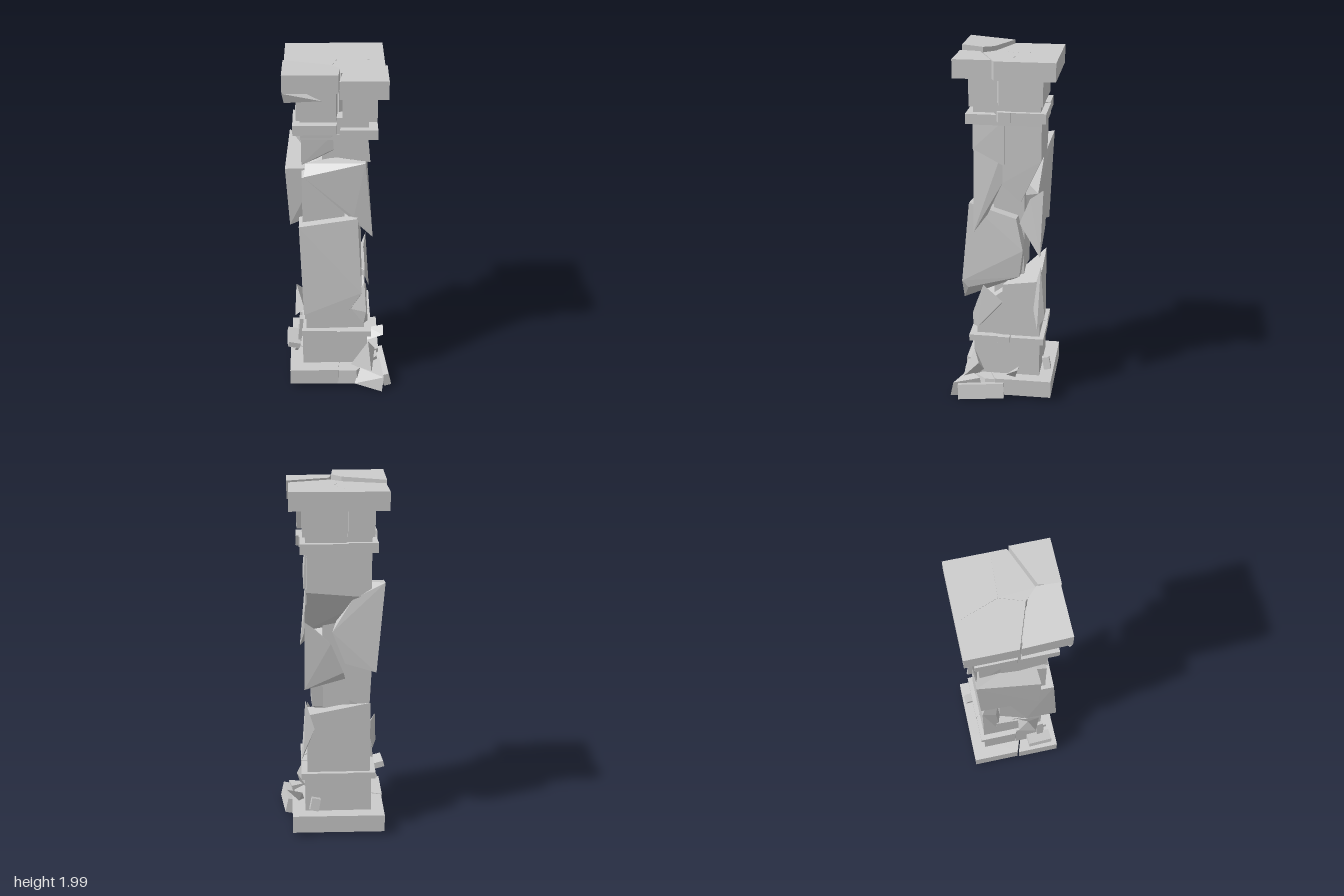
import * as THREE from 'three';
import { ConvexGeometry } from 'three/addons/geometries/ConvexGeometry.js';

export function createModel() {
  const pillar = new THREE.Group();
  pillar.name = 'brokenPillar';
  const stone = new THREE.MeshStandardMaterial({ color: 0xcccccc, flatShading: true });

  let seed = 7;
  const jitter = (amount) => {
    seed = (seed * 16807) % 2147483647;
    return (seed / 2147483647 - 0.5) * 2 * amount;
  };

  const add = (name, geometry) => {
    const mesh = new THREE.Mesh(geometry, stone);
    mesh.name = name;
    pillar.add(mesh);
    return mesh;
  };
  // Convex chunk around a few corner points
  const hull = (name, points) =>
    add(name, new ConvexGeometry(points.map((p) => new THREE.Vector3(...p))));
  // Upright chunk with broken ends; heights run front -x, front +x, back +x, back -x
  const post = (name, [x0, x1], [z0, z1], bottom, top, lean = [0, 0]) => {
    const corners = [[x0, z1], [x1, z1], [x1, z0], [x0, z0]];
    hull(name, corners.flatMap(([x, z], i) => [
      [x, bottom[i], z], [x + lean[0], top[i], z + lean[1]],
    ]));
  };
  const rubble = (name, size, position, rotation) => {
    const mesh = add(name, new THREE.BoxGeometry(...size));
    mesh.position.set(...position);
    mesh.rotation.set(...rotation);
  };

  // Plan of the cracks shared by every square course, as x, z polygons
  const cracks = {
    FrontRight: [[-0.29, -0.01], [-0.05, 0.07], [0.005, 0.125], [-0.005, 0.24], [-0.29, 0.24]],
    FrontLeft: [[0.008, 0.128], [0.24, 0.032], [0.24, 0.24], [-0.01, 0.24]],
    BackRight: [[-0.285, -0.29], [-0.088, -0.29], [-0.006, -0.065], [-0.05, 0.062], [-0.285, -0.018]],
    BackLeft: [[-0.088, -0.29], [0.24, -0.29], [0.24, -0.052], [-0.005, -0.065]],
    Left: [[-0.005, -0.064], [0.24, -0.052], [0.24, 0.032], [0.01, 0.125], [-0.049, 0.062]],
  };
  const centre = -0.025;
  // A square course of cracked blocks; shifts moves single blocks, null leaves one out
  const course = (name, half, y0, y1, loose, shifts = {}) => {
    for (const [part, plan] of Object.entries(cracks)) {
      if (shifts[part] === null) continue;
      const [dx, dy, dz, tilt = 0] =
        shifts[part] || [jitter(loose), jitter(loose), jitter(loose)];
      const k = half / 0.265;
      hull(name + part, plan.flatMap(([px, pz]) => {
        const x = centre + (px - centre) * k + dx;
        const z = centre + (pz - centre) * k + dz;
        const y = dy + tilt * z;
        return [[x, y0 + y, z], [x, y1 + y, z]];
      }));
    }
  };

  // Foot of the pillar, its front left corner broken off
  course('plinth', 0.262, 0.03, 0.13, 0.001, { FrontLeft: null });
  hull('plinthBrokenCorner', [[0, 0.12], [0.235, 0.03], [0.235, 0.1], [0.11, 0.238], [-0.01, 0.238]]
    .flatMap(([x, z]) => [[x, 0.03, z], [x - 0.01, 0.12, z - 0.01]]));
  course('footBlock', 0.188, 0.13, 0.335, 0.002);
  course('footBand', 0.21, 0.335, 0.372, 0.003, { FrontRight: [0.02, 0, -0.01] });

  // Head of the pillar
  course('neckBand', 0.212, 1.625, 1.68, 0.005, {
    FrontRight: [-0.005, 0.02, 0.01], FrontLeft: [0.015, -0.01, 0.005],
  });
  course('neckLowerBlock', 0.18, 1.6, 1.725, 0.002);
  course('neckBlock', 0.193, 1.71, 1.87, 0.002, {
    FrontRight: [-0.005, 0.01, 0.01], FrontLeft: [0.03, 0, 0.005],
  });
  course('capital', 0.265, 1.86, 1.96, 0, {
    FrontRight: [0, 0.018, 0, 0.083], FrontLeft: [0.01, 0.008, 0.01],
  });

  // Shaft, from the bottom up
  post('shaftCore', [-0.09, 0.06], [-0.11, 0.06], Array(4).fill(0.37), Array(4).fill(1.62));
  post('lowerFrontChunk', [-0.19, 0.145], [-0.03, 0.145], Array(4).fill(0.36), [0.52, 0.53, 0.66, 0.55]);
  hull('lowerBackChunk', [
    [-0.2, 0.36, -0.21], [0.15, 0.36, -0.21], [0.15, 0.36, 0], [-0.2, 0.36, -0.1],
    [-0.2, 0.78, -0.21], [0.15, 0.71, -0.21], [0.15, 0.68, 0], [-0.19, 0.7, -0.13],
  ]);
  post('lowerCornerChunk', [-0.2, -0.07], [-0.13, 0.06], Array(4).fill(0.36), [0.52, 0.54, 0.58, 0.55]);
  hull('middleChunk', [
    [-0.2, 0.53, 0.235], [0.05, 0.55, 0.235], [0.12, 0.64, 0.2], [0.12, 0.72, -0.09], [-0.2, 0.7, -0.11],
    [-0.21, 0.58, 0.05], [-0.22, 1.09, 0.195], [0.1, 1.14, 0.195], [0.125, 0.68, 0.235],
    [0.13, 0.88, -0.11], [0.11, 1.06, -0.07], [-0.22, 1.1, -0.11],
  ]);
  hull('rightCornerChunk', [
    [-0.29, 1.4, 0.1], [-0.27, 1.47, -0.24], [-0.1, 1.4, 0.09], [-0.1, 1.37, -0.2], [-0.27, 1.05, 0.1],
    [-0.23, 0.96, -0.22], [-0.06, 1, -0.18], [0.01, 1.18, -0.18], [-0.05, 1.12, 0.05],
  ]);
  post('upperFrontChunk', [-0.2, 0.03], [-0.02, 0.15], [1.05, 1.08, 1.1, 1.05], [1.37, 1.43, 1.45, 1.42]);
  hull('frontLeftDagger', [
    [-0.19, 1.38, 0.16], [-0.18, 1.43, 0.1], [0.14, 1.46, 0.16], [0.185, 1, 0.155], [0.08, 1.13, 0.16],
    [-0.04, 1.28, 0.16], [0.15, 1.46, 0], [0.155, 1.28, 0], [0.16, 1.1, 0.08], [0, 1.43, 0],
  ]);
  hull('backLeftDagger', [
    [0.16, 1.25, -0.225], [0.14, 1.19, -0.15], [0.165, 0.86, -0.21], [0.12, 1.04, -0.09],
    [0.02, 1.13, -0.23], [-0.05, 0.96, -0.215], [-0.06, 0.92, -0.2], [0.1, 1.2, -0.2],
  ]);
  hull('upperBackChunk', [
    [-0.2, 1.63, -0.21], [0.145, 1.63, -0.21], [0.145, 1.63, 0.01], [-0.2, 1.63, 0.01],
    [-0.2, 1.38, -0.21], [0.15, 1.41, -0.21], [0.145, 1.17, -0.1], [0.145, 1.27, 0.01],
    [-0.02, 1.2, -0.1], [-0.19, 1.38, 0.01],
  ]);
  post('topRightChunk', [-0.2, -0.03], [-0.1, 0.15], [1.45, 1.54, 1.4, 1.4], Array(4).fill(1.63), [0, 0.005]);
  post('topLeftChunk', [-0.02, 0.165], [-0.01, 0.16], [1.5, 1.47, 1.38, 1.45], Array(4).fill(1.63), [-0.015, 0]);

  // Thin splinters standing off the shaft
  hull('backLeftSplinter', [
    [0.16, 0.8, -0.215], [0.13, 0.6, -0.16], [0.185, 0.43, -0.2], [0.17, 0.5, -0.24], [0.11, 0.64, -0.24],
  ]);
  hull('frontLeftSplinter', [
    [0.145, 0.67, 0.11], [0.07, 0.52, 0.165], [0.14, 0.42, 0.17], [0.155, 0.5, 0.17], [0.16, 0.58, 0],
    [0.165, 0.42, 0.14], [0.1, 0.5, 0.03],
  ]);
  hull('rightSplinter', [
    [-0.245, 0.62, 0.05], [-0.2, 0.5, 0.13], [-0.255, 0.43, 0.1], [-0.23, 0.42, 0], [-0.2, 0.55, 0],
  ]);
  hull('upperRightSplinter', [
    [-0.19, 1.88, 0.17], [-0.29, 1.9, 0.24], [-0.28, 1.845, 0.23], [-0.09, 1.84, 0.2], [-0.2, 1.85, 0.15],
  ]);

  // Rubble broken from the foot
  rubble('bandRubble', [0.07, 0.035, 0.14], [-0.265, 0.285, 0.12], [0.05, 0.05, -0.25]);
  rubble('bandStrut', [0.02, 0.16, 0.04], [-0.225, 0.36, 0.13], [0, 0.1, -0.1]);
  rubble('smallRubble', [0.02, 0.035, 0.03], [-0.25, 0.205, 0.1], [0.3, 0.2, -0.4]);
  rubble('plinthRubble', [0.045, 0.085, 0.26], [0.263, 0.062, 0.11], [0.04, 0.11, 0.22]);
  hull('cornerRubble', [
    [0.09, 0.04, 0.25], [0.25, 0.01, 0.29], [0.26, 0.1, 0.27], [0.12, 0.12, 0.2], [0.24, 0.13, 0.12], [0.22, 0.02, 0.1],
  ]);
  hull('leaningShard', [
    [0.07, 0.13, 0.18], [0.17, 0.28, 0.16], [0.21, 0.21, 0.13], [0.19, 0.1, 0.23], [0.15, 0.13, 0.1],
  ]);
  hull('sideShard', [
    [0.17, 0.13, -0.05], [0.27, 0.18, -0.035], [0.27, 0.21, -0.1], [0.18, 0.19, -0.1], [0.2, 0.13, -0.08],
  ]);
  rubble('backRubble', [0.05, 0.07, 0.04], [0.11, 0.19, -0.25], [0.2, 0.1, 0.2]);

  return pillar;
}
